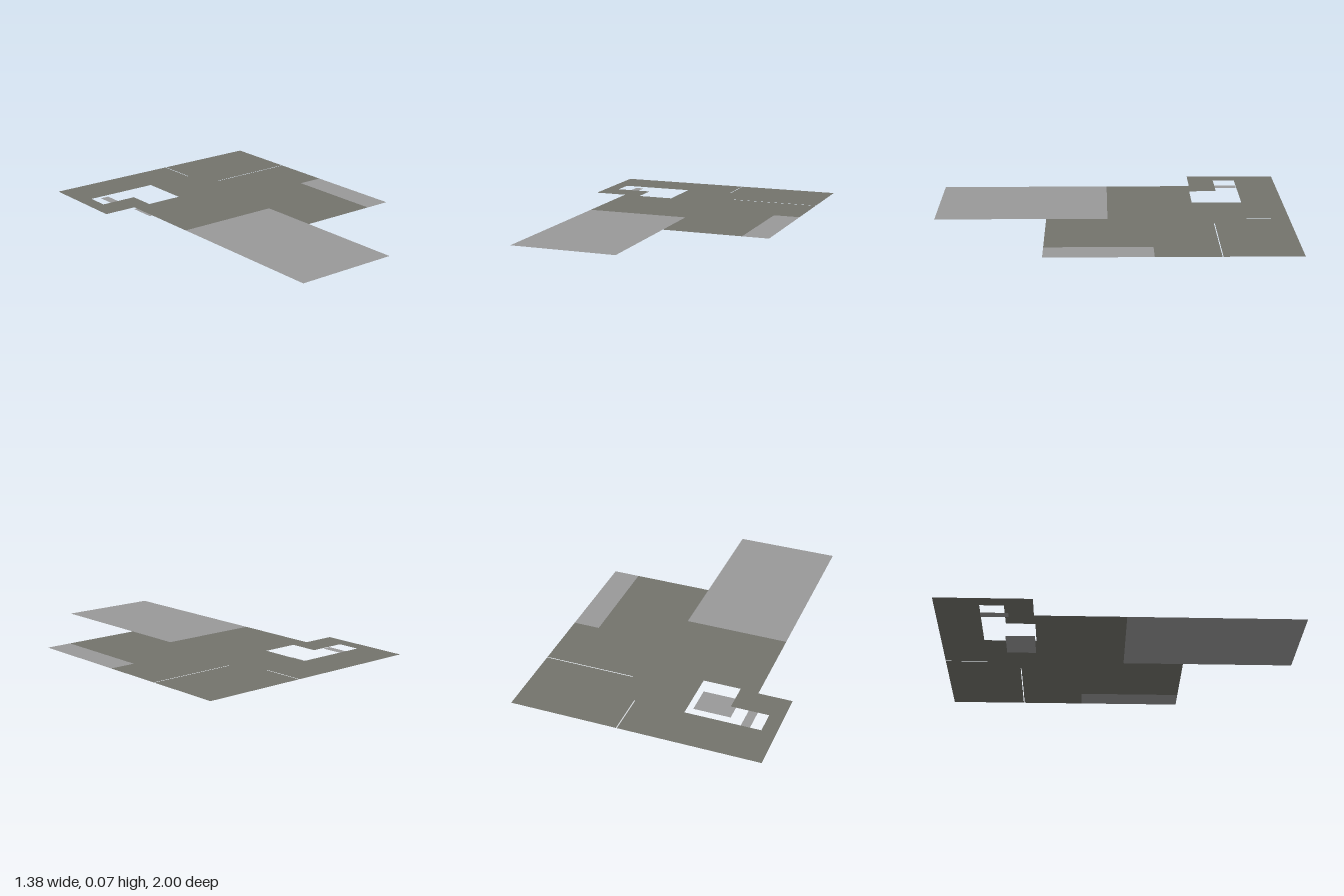
import * as THREE from 'three';

const FLOOR_Y = 0.074;
const SLIT = 0.0025; // half width of the expansion joints

export function createModel() {
  const model = new THREE.Group();
  model.name = 'floorSlabs';

  const darkConcrete = new THREE.MeshStandardMaterial({ color: 0x73736c, side: THREE.DoubleSide });
  darkConcrete.name = 'dark concrete';
  const lightConcrete = new THREE.MeshStandardMaterial({ color: 0x999999, side: THREE.DoubleSide });
  lightConcrete.name = 'light concrete';

  // Corners are given in plan as [x, z]
  const plan = (points) => points.map(([x, z]) => new THREE.Vector2(x, -z));

  function slab(name, points, y, material, hole) {
    const shape = new THREE.Shape(plan(points));
    if (hole) shape.holes.push(new THREE.Path(plan(hole)));
    const geometry = new THREE.ShapeGeometry(shape);
    geometry.rotateX(-Math.PI / 2);
    const mesh = new THREE.Mesh(geometry, material);
    mesh.name = name;
    mesh.position.y = y;
    model.add(mesh);
  }

  const rect = (x0, x1, z0, z1) => [[x0, z0], [x1, z0], [x1, z1], [x0, z1]];

  // Main floor, with two narrow joints cut in from its back and side edges
  const outline = [
    [-0.69, -1],
    [0.09 - SLIT, -1], [0.09 - SLIT, -0.76], [0.09 + SLIT, -0.76], [0.09 + SLIT, -1],
    [0.69, -1],
    [0.69, -0.57 - SLIT], [0.18, -0.57 - SLIT], [0.18, -0.57 + SLIT], [0.69, -0.57 + SLIT],
    [0.69, -0.215], [0.54, -0.215], [0.54, 0.37],
    [0.09, 0.37], [0.09, 0.025],
    [-0.5, 0.025], [-0.5, -0.475], [-0.69, -0.475],
  ];
  // L-shaped stairwell opening
  const stairwell = [
    [-0.61, -0.76], [-0.19, -0.76], [-0.19, -0.47],
    [-0.4, -0.47], [-0.4, -0.63], [-0.61, -0.63],
  ];
  slab('mainFloor', outline, FLOOR_Y, darkConcrete, stairwell);

  // Lighter floors at the same level
  slab('frontFloor', rect(-0.5, 0.09, 0.025, 1), FLOOR_Y, lightConcrete);
  slab('sideFloor', rect(0.54, 0.69, -0.215, 0.37), FLOOR_Y, lightConcrete);

  // Lower levels inside the stairwell
  slab('stairStep', rect(-0.545, -0.495, -0.76, -0.61), 0.064, lightConcrete);
  slab('stairLanding', rect(-0.4, -0.19, -0.63, -0.47), 0, lightConcrete);

  return model;
}
